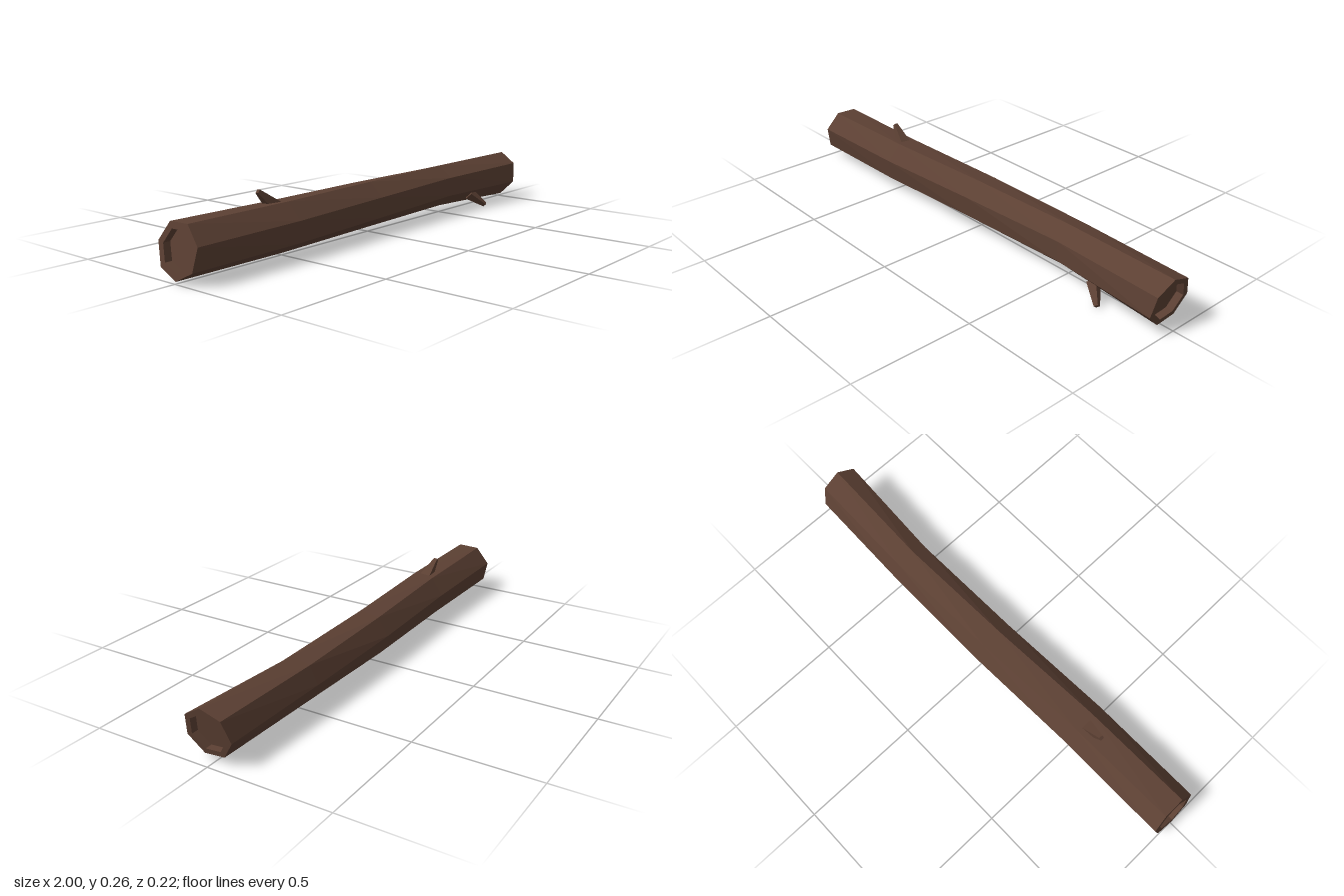
import * as THREE from 'three';

const SIDES = 7;

// One ring of the log: centre, radius, twist (degrees) and lean of the cut along x
function ring(x, y, z, radius, twist, lean = 0) {
  return Array.from({ length: SIDES }, (_, i) => {
    const a = THREE.MathUtils.degToRad(twist) + (i / SIDES) * Math.PI * 2;
    const dy = Math.cos(a) * radius;
    return [x + dy * lean, y + dy, z + Math.sin(a) * radius];
  });
}

// Skin consecutive rings with flat faces
function skin(rings) {
  const pos = [];
  for (let r = 0; r < rings.length - 1; r++) {
    const a = rings[r], b = rings[r + 1];
    for (let i = 0; i < SIDES; i++) {
      const j = (i + 1) % SIDES;
      if (r > 0) pos.push(...a[i], ...a[j], ...b[j]);
      else pos.push(...a[0], ...b[j], ...b[i]);
      if (r > 0 && r < rings.length - 2) pos.push(...a[i], ...b[j], ...b[i]);
    }
  }
  const geo = new THREE.BufferGeometry();
  geo.setAttribute('position', new THREE.Float32BufferAttribute(pos, 3));
  geo.computeVertexNormals();
  return geo;
}

export function createModel() {
  const group = new THREE.Group();
  group.name = 'log';
  const bark = new THREE.MeshStandardMaterial({ color: 0x5c4033, flatShading: true });
  bark.name = 'brown bark';

  // Crooked trunk with a shallow recess in each slanted end
  const L = [0.115, 0.003], R = [0.118, 0.007];
  const trunk = new THREE.Mesh(skin([
    ring(-0.957, ...L, 0, 24),
    ring(-0.957, ...L, 0.077, 24, 0.14),
    ring(-0.987, ...L, 0.077, 24, 0.14),
    ring(-0.987, ...L, 0.104, 24, 0.14),
    ring(-0.5, 0.115, 0.004, 0.102, 21),
    ring(0, 0.117, -0.013, 0.098, 17),
    ring(0.5, 0.121, -0.016, 0.092, 11),
    ring(0.979, ...R, 0.1, 6, 0.2),
    ring(0.979, ...R, 0.077, 6, 0.2),
    ring(0.949, ...R, 0.077, 6, 0.2),
    ring(0.949, ...R, 0, 6),
  ]), bark);
  trunk.name = 'trunk';
  group.add(trunk);

  // Four-sided broken twigs, tapering from the trunk to a blunt tip
  function twig(name, from, to, baseRadius, tipRadius) {
    const a = new THREE.Vector3(...from), b = new THREE.Vector3(...to);
    const dir = b.clone().sub(a);
    const geo = new THREE.CylinderGeometry(tipRadius, baseRadius, dir.length(), 4);
    geo.rotateY(Math.PI / 4);
    const mesh = new THREE.Mesh(geo, bark);
    mesh.name = name;
    mesh.quaternion.setFromUnitVectors(new THREE.Vector3(0, 1, 0), dir.normalize());
    mesh.position.copy(a).add(b).multiplyScalar(0.5);
    group.add(mesh);
  }
  twig('upperTwig', [-0.53, 0.19, -0.003], [-0.6, 0.256, -0.014], 0.032, 0.011);
  twig('lowerTwig', [0.67, 0.065, 0.05], [0.733, 0.011, 0.097], 0.028, 0.012);

  return group;
}
